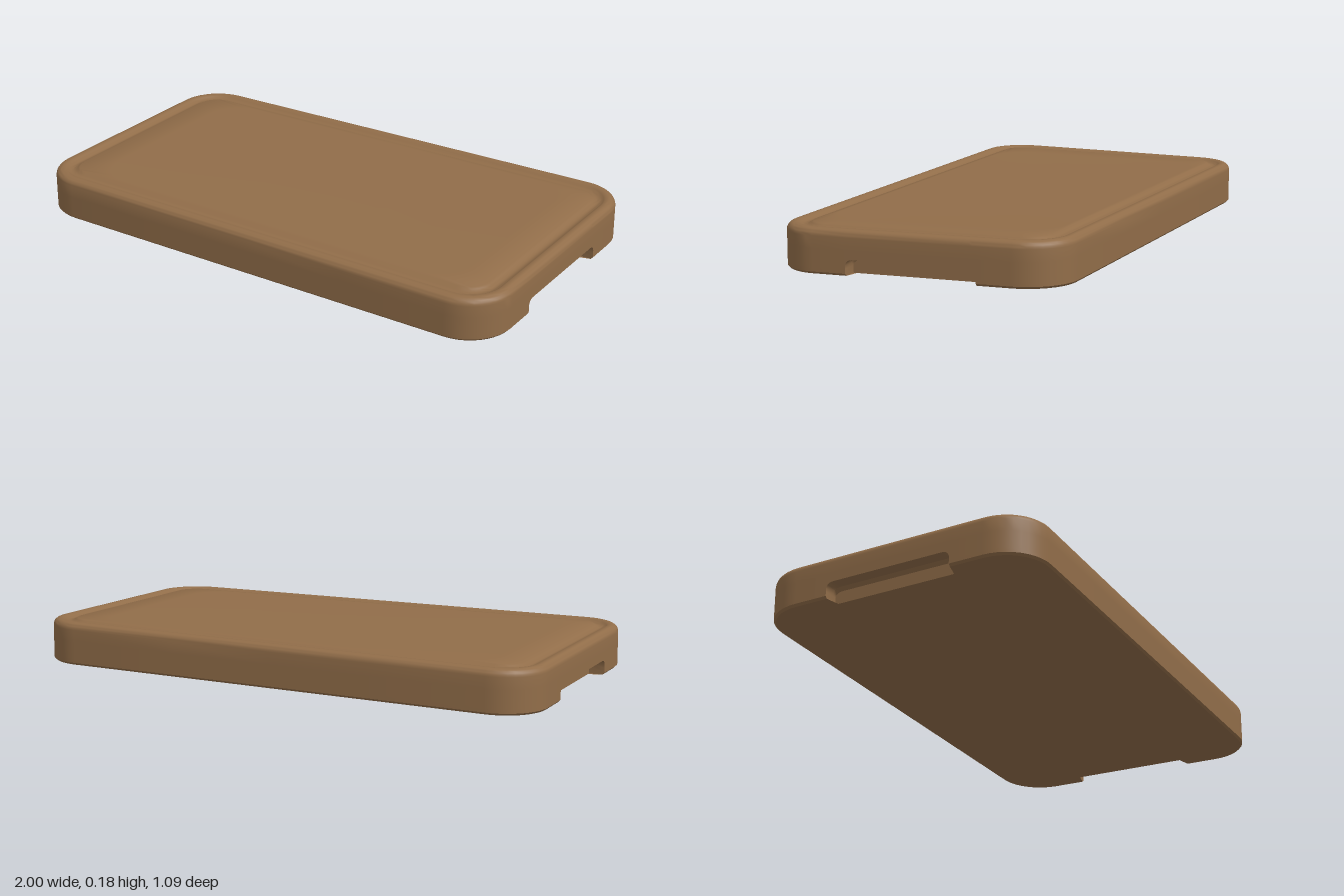
import * as THREE from 'three';
import { toCreasedNormals } from 'three/addons/utils/BufferGeometryUtils.js';

const X = 1, Z = 0.543, R = 0.17;   // half length, half width, corner radius
const H = 0.16;                     // thickness
const NOTCH = 0.06;                 // depth of the finger notches

// Slight warp of the wood: the back +x corner lifts most
function warp(x, z) {
  const u = (x / X + 1) / 2, v = (z / Z + 1) / 2;
  return 0.003 + 0.023 * u * (1 - v) + 0.006 * (1 - u) * v;
}

// Columns round the outline: arc centre, outward direction and notch height (0 = none)
function outline() {
  const columns = [];
  const add = (cx, cz, a, notch = 0) =>
    columns.push({ cx, cz, dx: Math.cos(a), dz: Math.sin(a), notch });
  const notchShape = [
    [-0.245, 0], [-0.245, 0.038], [-0.24, 0.049], [-0.232, 0.055], [-0.22, 0.058],
    [0.22, 0.058], [0.232, 0.055], [0.24, 0.049], [0.245, 0.038], [0.245, 0],
  ];
  for (const s of [1, -1]) {
    // End with its notch
    for (const [z, h] of notchShape) add(s * (X - R), s * z, s > 0 ? 0 : Math.PI, h);
    // Corner, long side, corner
    const start = s > 0 ? 0 : Math.PI;
    for (let i = 0; i <= 10; i++) add(s * (X - R), s * (Z - R), start + (i / 10) * Math.PI / 2);
    for (const x of [0.4, 0, -0.4]) add(s * x, s * (Z - R), start + Math.PI / 2);
    for (let i = 0; i <= 10; i++) add(-s * (X - R), s * (Z - R), start + (1 + i / 10) * Math.PI / 2);
  }
  return columns;
}

// Cross-section of one column, as [inset, y, scale], from bottom centre to top centre
function section(h) {
  const foot = h
    ? [[NOTCH, 0], [NOTCH, h - 0.012], [NOTCH - 0.012, h], [0, h]]
    : [[0.008, 0], [0, 0.008], [0, 0.025], [0, 0.038]];
  const rim = [];
  for (let i = 0; i <= 6; i++) {
    const a = (i / 6) * Math.PI / 2;
    rim.push([0.026 * (1 - Math.cos(a)), H - 0.026 + 0.026 * Math.sin(a)]);
  }
  const groove = [];
  for (let i = 0; i <= 8; i++) {
    groove.push([0.038 + 0.054 * (i / 8), H - 0.012 * Math.sin((i / 8) * Math.PI)]);
  }
  return [
    [0, 0, 0], [0, 0, 0.45], [0, 0, 0.85],
    ...foot, [0, 0.09], ...rim, ...groove,
    [0, H, 0.8], [0, H, 0.4], [0, H, 0],
  ];
}

function boardGeometry() {
  const columns = outline();
  const n = columns.length, rows = section(0).length;
  const position = [], index = [];
  for (const c of columns) {
    for (const [inset, y, scale = 1] of section(c.notch)) {
      const x = (c.cx + c.dx * (R - inset)) * scale;
      const z = (c.cz + c.dz * (R - inset)) * scale;
      position.push(x, y + warp(x, z), z);
    }
  }
  for (let i = 0; i < n; i++) {
    for (let j = 0; j < rows - 1; j++) {
      const a = i * rows + j, b = ((i + 1) % n) * rows + j;
      if (j < rows - 2) index.push(a, a + 1, b + 1);
      if (j > 0) index.push(a, b + 1, b);
    }
  }
  const geometry = new THREE.BufferGeometry();
  geometry.setAttribute('position', new THREE.Float32BufferAttribute(position, 3));
  geometry.setIndex(index);
  return toCreasedNormals(geometry, 0.7);
}

export function createModel() {
  const wood = new THREE.MeshStandardMaterial({ color: 0x916d49 });
  wood.name = 'wood';
  const board = new THREE.Mesh(boardGeometry(), wood);
  board.name = 'cuttingBoard';
  const model = new THREE.Group();
  model.name = 'groovedCuttingBoard';
  model.add(board);
  return model;
}
